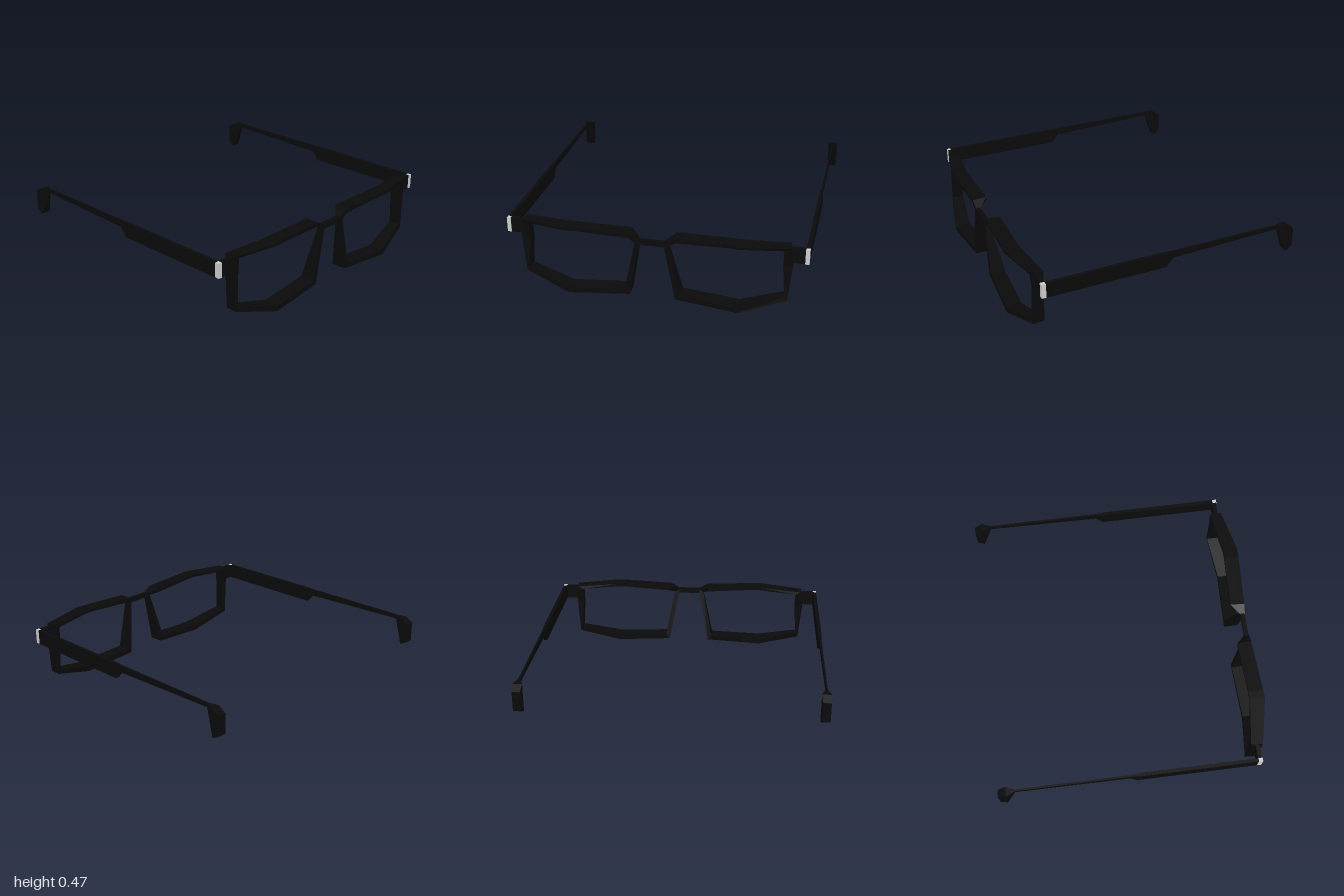
import * as THREE from 'three';

// Skin a list of four-cornered sections; closed joins the last to the first.
function loft(rings, closed) {
  const pos = [];
  const tri = (...pts) => pts.forEach((p) => pos.push(...p));
  const n = rings.length;
  for (let i = 0; i < (closed ? n : n - 1); i++) {
    const r = rings[i], s = rings[(i + 1) % n];
    for (let j = 0; j < 4; j++) {
      const k = (j + 1) % 4;
      tri(r[j], s[j], s[k]);
      tri(r[j], s[k], r[k]);
    }
  }
  if (!closed) {
    const a = rings[0], b = rings[n - 1];
    tri(a[0], a[1], a[2]); tri(a[0], a[2], a[3]);
    tri(b[0], b[2], b[1]); tri(b[0], b[3], b[2]);
  }
  const g = new THREE.BufferGeometry();
  g.setAttribute('position', new THREE.Float32BufferAttribute(pos, 3));
  g.computeVertexNormals();
  return g;
}

export function createModel() {
  const black = new THREE.MeshStandardMaterial({ color: 0x0a0a0a });
  black.name = 'black plastic';
  const silver = new THREE.MeshStandardMaterial({ color: 0xcccccc });
  silver.name = 'silver metal';

  const model = new THREE.Group();
  model.name = 'glasses';
  const add = (parent, name, geometry, material, x = 0, y = 0, z = 0) => {
    const mesh = new THREE.Mesh(geometry, material);
    mesh.name = name;
    mesh.position.set(x, y, z);
    parent.add(mesh);
  };

  // Rim corners: outer x, y, inner x, y, front z, back z, back outer x
  const rim = loft([
    [0.075, 0.43, 0.11, 0.41, 0.895, 0.865, 0.075],
    [0.14, 0.467, 0.15, 0.441, 0.897, 0.80, 0.145],
    [0.50, 0.477, 0.50, 0.459, 0.915, 0.814, 0.50],
    [0.555, 0.476, 0.555, 0.457, 0.918, 0.815, 0.555],
    [0.865, 0.465, 0.825, 0.444, 0.85, 0.772, 0.86],
    [0.882, 0.35, 0.82, 0.33, 0.838, 0.778, 0.868],
    [0.857, 0.095, 0.837, 0.118, 0.853, 0.775, 0.853],
    [0.555, 0.004, 0.55, 0.043, 0.922, 0.818, 0.555],
    [0.15, 0.034, 0.18, 0.066, 0.90, 0.80, 0.15],
  ].map(([ox, oy, ix, iy, zf, zb, bx]) =>
    [[ox, oy, zf], [bx, oy, zb], [ix, iy, zb], [ix, iy, zf]]), true);

  // Temple arm with flared ear tip: top z, y, bottom z, y, half width
  const temple = loft([
    [0.805, 0.457, 0.805, 0.356, 0.012],
    [0.02, 0.457, 0.0, 0.356, 0.012],
    [-0.05, 0.457, -0.05, 0.41, 0.006],
    [-0.81, 0.457, -0.81, 0.43, 0.006],
    [-0.87, 0.45, -0.877, 0.26, 0.032],
    [-0.925, 0.42, -0.925, 0.285, 0.026],
  ].map(([zt, yt, zb, yb, w]) =>
    [[w, yt, zt], [-w, yt, zt], [-w, yb, zb], [w, yb, zb]]), false);

  for (const side of [1, -1]) {
    const half = new THREE.Group();
    half.name = side > 0 ? 'leftSide' : 'rightSide';
    half.scale.x = side;
    add(half, 'rim', rim, black);
    add(half, 'endPiece', new THREE.BoxGeometry(0.10, 0.10, 0.028), black, 0.904, 0.407, 0.815);
    add(half, 'hinge', new THREE.BoxGeometry(0.026, 0.099, 0.03), silver, 0.966, 0.407, 0.818);
    add(half, 'temple', temple, black, 0.966);
    model.add(half);
  }

  // Bridge over the nose
  add(model, 'bridge', new THREE.BoxGeometry(0.18, 0.034, 0.028), black, 0, 0.417, 0.879);
  return model;
}
